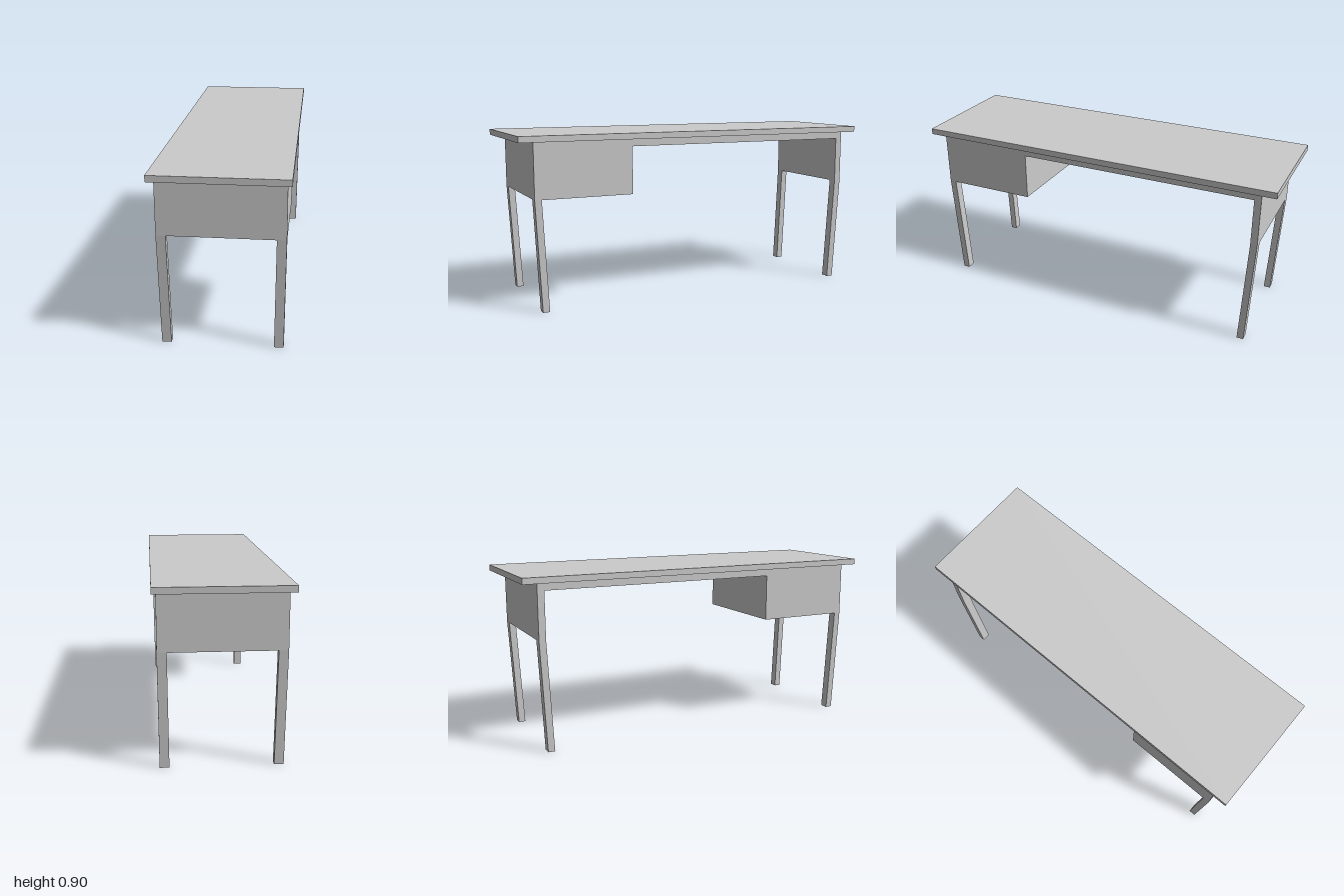
import * as THREE from 'three';

const material = new THREE.MeshStandardMaterial({ color: 0xcccccc, flatShading: true });

// Box given by its extents on each axis
function block(name, [x0, x1], [y0, y1], [z0, z1]) {
  const geometry = new THREE.BoxGeometry(x1 - x0, y1 - y0, z1 - z0);
  geometry.translate((x0 + x1) / 2, (y0 + y1) / 2, (z0 + z1) / 2);
  const mesh = new THREE.Mesh(geometry, material);
  mesh.name = name;
  return mesh;
}

const W = 0.308; // half width of the frame
const D = 0.922; // half length of the frame
const LEG_TOP = 0.58;
const LEG_X = 0.047, LEG_Z = 0.036;

// Leg whose foot is sheared inward toward the centre
function leg(name, sx, sz) {
  const geometry = new THREE.BoxGeometry(LEG_X, LEG_TOP, LEG_Z);
  geometry.translate(sx * (W - LEG_X / 2), LEG_TOP / 2, sz * (D - LEG_Z / 2));
  const p = geometry.attributes.position;
  for (let i = 0; i < p.count; i++) {
    const drop = 1 - p.getY(i) / LEG_TOP;
    p.setX(i, p.getX(i) - sx * 0.007 * drop);
    p.setZ(i, p.getZ(i) - sz * 0.029 * drop);
  }
  geometry.computeVertexNormals();
  const mesh = new THREE.Mesh(geometry, material);
  mesh.name = name;
  return mesh;
}

export function createModel() {
  const group = new THREE.Group();
  group.name = 'desk';

  // Overhanging top and the flush slab under it
  group.add(block('tabletop', [-0.33, 0.33], [0.868, 0.9], [-1, 1]));
  group.add(block('underframe', [-W, W], [0.83, 0.868], [-D + LEG_Z, 0.4]));

  // Drawer cabinet at the front, thin panel at the back
  group.add(block('drawerCabinet', [-W, W], [LEG_TOP, 0.868], [0.4, D]));
  group.add(block('endPanel', [-W, W], [LEG_TOP, 0.868], [-D, -D + LEG_Z]));

  // Four inward-leaning legs
  for (const sz of [1, -1]) {
    for (const sx of [1, -1]) {
      group.add(leg(`${sz > 0 ? 'front' : 'back'}${sx > 0 ? 'Left' : 'Right'}Leg`, sx, sz));
    }
  }
  return group;
}
